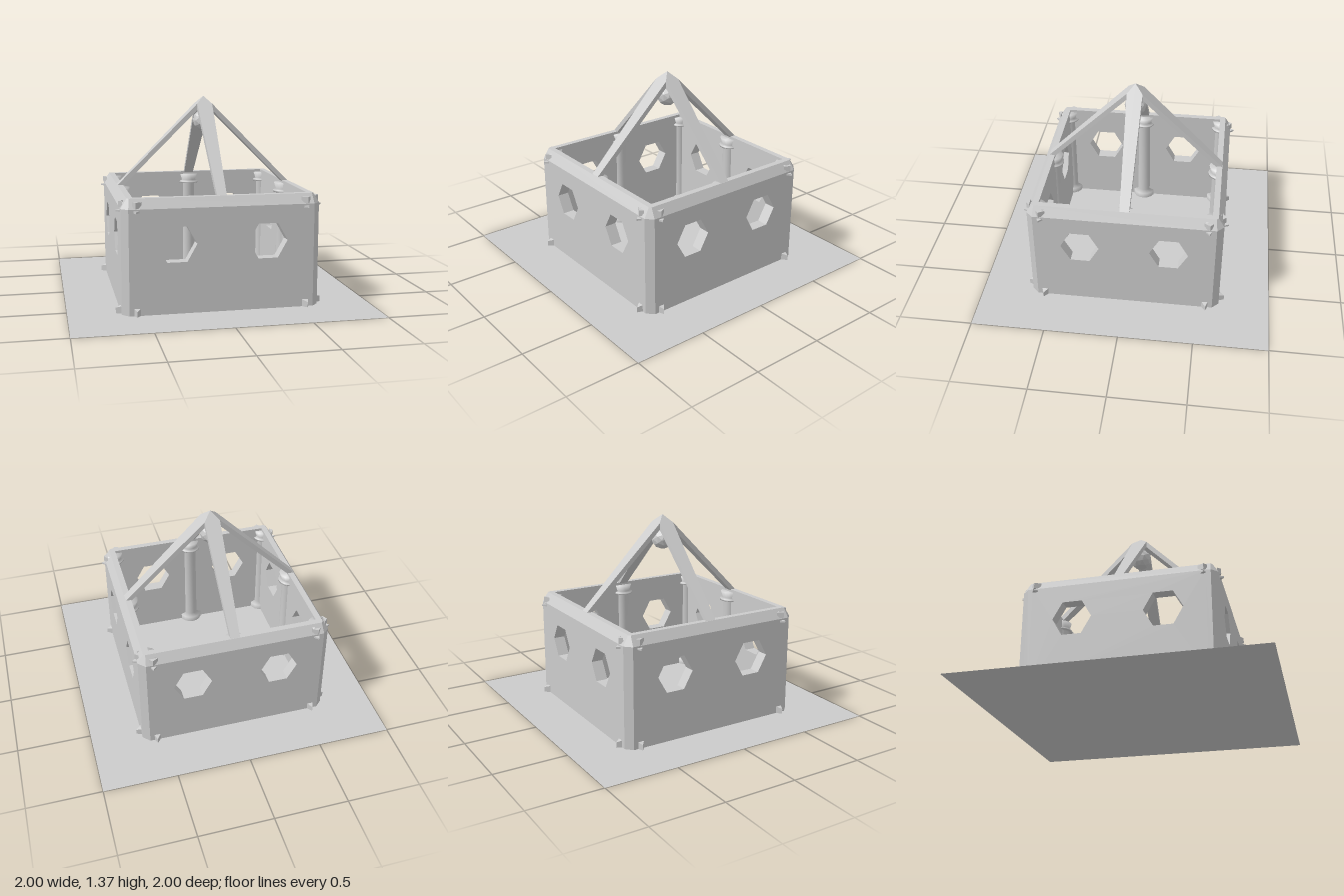
import * as THREE from 'three';
import { ConvexGeometry } from 'three/addons/geometries/ConvexGeometry.js';

const mat = new THREE.MeshStandardMaterial({ color: 0xcccccc, flatShading: true });
const thin = new THREE.MeshStandardMaterial({ color: 0xcccccc, side: THREE.DoubleSide });
const OUT = 0.655, IN = 0.575, CUT = 0.045, EAVE = 0.69, TOP = 0.755;

function add(parent, name, geometry, material = mat) {
  const mesh = new THREE.Mesh(geometry, material);
  mesh.name = name;
  parent.add(mesh);
  return mesh;
}

function polygon(points) {
  return points.map(([x, y]) => new THREE.Vector2(x, y));
}

// Square ring of eight points with clipped corners
function ring(half, cut, y) {
  const k = half - cut;
  return [[half, -k], [half, k], [k, half], [-k, half], [-half, k], [-half, -k], [-k, -half], [k, -half]]
    .map(([x, z]) => [x, y, z]);
}

function loft(rings) {
  const pos = [];
  for (let r = 0; r < rings.length - 1; r++) {
    for (let i = 0; i < 8; i++) {
      const j = (i + 1) % 8;
      const [a, b, c, d] = [rings[r][i], rings[r][j], rings[r + 1][i], rings[r + 1][j]];
      pos.push(...a, ...c, ...d, ...a, ...d, ...b);
    }
  }
  const g = new THREE.BufferGeometry();
  g.setAttribute('position', new THREE.Float32BufferAttribute(pos, 3));
  g.computeVertexNormals();
  return g;
}

// Wall panel with two hexagonal windows
function wallGeometry() {
  const shape = new THREE.Shape(polygon([[-IN, 0], [IN, 0], [IN, EAVE], [-IN, EAVE]]));
  for (const cx of [-0.3, 0.3]) {
    const hex = [];
    for (let i = 0; i < 6; i++) {
      const a = -i * Math.PI / 3;
      hex.push([cx + 0.13 * Math.cos(a), 0.455 + 0.133 * Math.sin(a)]);
    }
    shape.holes.push(new THREE.Path(polygon(hex)));
  }
  return new THREE.ExtrudeGeometry(shape, { depth: OUT - IN, bevelEnabled: false }).translate(0, 0, IN);
}

// Corner post with a clipped outer edge
function postGeometry() {
  const k = OUT - CUT;
  const shape = new THREE.Shape(polygon([[IN, -IN], [IN, -OUT], [k, -OUT], [OUT, -k], [OUT, -IN]]));
  return new THREE.ExtrudeGeometry(shape, { depth: EAVE, bevelEnabled: false }).rotateX(-Math.PI / 2);
}

// Half-round column engaged in the wall, with a foot and a collar
function columnGeometry(angle) {
  const profile = polygon([[0.082, 0], [0.082, 0.04], [0.05, 0.055], [0.048, 0.665],
    [0.075, 0.668], [0.075, 0.68], [0.055, 0.69], [0.07, 0.735], [0, 0.735]]);
  return new THREE.LatheGeometry(profile, 8, angle - Math.PI / 2, Math.PI);
}

// Sloping rafter, mitred at the peak
function rafterGeometry() {
  const pts = [];
  for (const [x, r] of [[0, 0], [0.053, 0.053], [-0.053, 0.053], [0.032, 0.617], [-0.032, 0.617]]) {
    const y = 1.365 - r * 0.995;
    pts.push(new THREE.Vector3(x, y, r), new THREE.Vector3(x, y - 0.045, r));
  }
  return new ConvexGeometry(pts);
}

// Small wedge on the outer face beside a corner
function wedgeGeometry(side, y0, y1, tip, slope) {
  const pts = [];
  for (const [x, z] of [[0.525, 0.64], [0.565, tip], [0.585, 0.64]]) {
    const drop = z === tip ? slope : 0;
    pts.push(new THREE.Vector3(side * x, y0, z), new THREE.Vector3(side * x, y1 - drop, z));
  }
  return new ConvexGeometry(pts);
}

export function createModel() {
  const model = new THREE.Group();
  model.name = 'pavilion';

  add(model, 'ground', new THREE.PlaneGeometry(2, 2).rotateX(-Math.PI / 2), thin);

  // Each quarter holds one wall, post and rafter with its columns
  for (let i = 0; i < 4; i++) {
    const quarter = new THREE.Group();
    quarter.name = 'quarter' + (i + 1);
    quarter.rotation.y = i * Math.PI / 2;
    model.add(quarter);

    add(quarter, 'wall', wallGeometry());
    add(quarter, 'cornerPost', postGeometry());
    add(quarter, 'rafter', rafterGeometry());
    add(quarter, 'middleColumn', columnGeometry(Math.PI), thin).position.z = 0.595;
    add(quarter, 'cornerColumn', columnGeometry(-Math.PI * 3 / 4), thin).position.set(0.59, 0, 0.59);

    for (const side of [-1, 1]) {
      add(quarter, 'footWedge', wedgeGeometry(side, 0, 0.052, 0.69, 0.015));
      add(quarter, 'collarTip', wedgeGeometry(side, 0.667, 0.679, 0.682, 0));
      add(quarter, 'capitalWedge', wedgeGeometry(side, 0.695, 0.735, 0.664, 0));
    }
  }

  // Bevelled rim around the wall tops
  add(model, 'rim', loft([ring(OUT, CUT, EAVE), ring(0.615, 0.012, TOP), ring(IN, 0, TOP), ring(IN, 0, EAVE)]));

  // Faceted ball hanging under the peak
  add(model, 'hangingBall', new THREE.IcosahedronGeometry(0.075, 1)).position.y = 1.195;

  return model;
}
